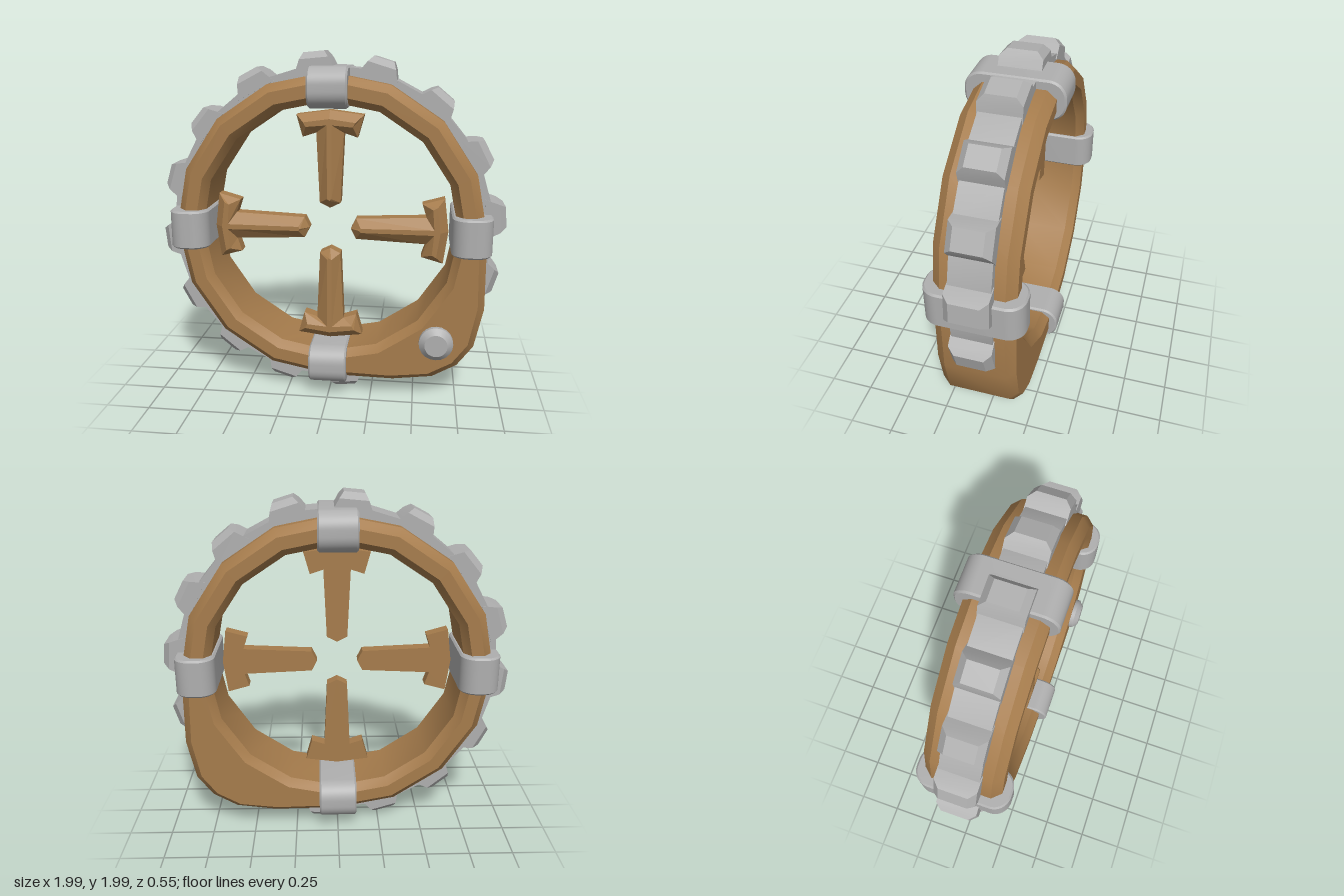
import * as THREE from 'three';
import { toCreasedNormals } from 'three/addons/utils/BufferGeometryUtils.js';

const wood = new THREE.MeshStandardMaterial({ color: 0xa67c4c });
wood.name = 'wood brown';
const steel = new THREE.MeshStandardMaterial({ color: 0xafafaf });
steel.name = 'steel grey';

function part(name, geometry, material, parent) {
  const mesh = new THREE.Mesh(geometry, material);
  mesh.name = name;
  parent.add(mesh);
  return mesh;
}

// Chamfered sixteen-sided hoop whose lower corner on the left swells outwards
function hoopGeometry() {
  const stations = [];
  const inner = (k) => new THREE.Vector2(Math.cos(k * Math.PI / 8), Math.sin(k * Math.PI / 8)).multiplyScalar(0.73);
  for (let k = 0; k <= 12; k++) stations.push([inner(k).multiplyScalar(0.885 / 0.73), inner(k)]);
  const corner = [[0.38, -0.89, 13], [0.61, -0.86, 13.5], [0.75, -0.78, 14], [0.84, -0.66, 14.5], [0.89, -0.43, 15]];
  for (const [x, y, k] of corner) {
    const p = inner(Math.floor(k)).lerp(inner(Math.ceil(k)), 0.5);
    stations.push([new THREE.Vector2(x, y), p]);
  }
  const pos = [], idx = [];
  for (const [o, i] of stations) {
    const o2 = o.clone().setLength(o.length() - 0.045);
    const i2 = i.clone().setLength(i.length() + 0.04);
    const section = [[o, 0.17], [o2, 0.22], [i2, 0.22], [i, 0.17], [i, -0.17], [i2, -0.22], [o2, -0.22], [o, -0.17]];
    for (const [p, z] of section) pos.push(p.x, p.y, z);
  }
  const n = stations.length;
  for (let s = 0; s < n; s++) {
    for (let j = 0; j < 8; j++) {
      const t = (s + 1) % n, q = (j + 1) % 8;
      const a = s * 8 + j, b = s * 8 + q, c = t * 8 + q, d = t * 8 + j;
      idx.push(a, d, c, a, c, b);
    }
  }
  const g = new THREE.BufferGeometry();
  g.setAttribute('position', new THREE.Float32BufferAttribute(pos, 3));
  g.setIndex(idx);
  return toCreasedNormals(g, 0.55);
}

// Tooth: a box tapered in two steps, standing on the tread
function toothGeometry() {
  const g = new THREE.BoxGeometry(2, 2, 2, 1, 2, 1);
  const levels = [[0.88, 0.115, 0.117], [0.96, 0.08, 0.117], [0.995, 0.058, 0.08]];
  const p = g.attributes.position;
  for (let i = 0; i < p.count; i++) {
    const [r, w, d] = levels[Math.round(p.getY(i)) + 1];
    p.setXYZ(i, p.getX(i) * w, r, p.getZ(i) * d);
  }
  return toCreasedNormals(g, 0.3);
}

// Clamp: rounded loop section swept along the rim
function clampGeometry() {
  const x0 = 0.70, x1 = 0.905, h = 0.26, r = 0.085, s = new THREE.Shape();
  s.moveTo(x0 + r, -h);
  s.absarc(x1 - r, -h + r, r, -Math.PI / 2, 0);
  s.absarc(x1 - r, h - r, r, 0, Math.PI / 2);
  s.absarc(x0 + r, h - r, r, Math.PI / 2, Math.PI);
  s.absarc(x0 + r, -h + r, r, Math.PI, Math.PI * 1.5);
  const g = new THREE.ExtrudeGeometry(s, {
    depth: 0.2, bevelEnabled: true, bevelThickness: 0.01, bevelSize: 0.01, bevelSegments: 1, curveSegments: 6,
  });
  g.translate(0, 0, -0.1).rotateX(Math.PI / 2);
  return toCreasedNormals(g, 0.5);
}

// T-shaped spoke: flat back, straight sides, front sloping up to a narrow ridge
function spokeGeometry() {
  const mirrored = (pts) => [...pts, ...pts.slice(1, -1).reverse().map(([x, y]) => [-x, y])];
  const outline = mirrored([[0, 0.12], [0.06, 0.15], [0.078, 0.55], [0.155, 0.525], [0.19, 0.65], [0, 0.675]]);
  const ridge = mirrored([[0, 0.17], [0.012, 0.18], [0.015, 0.595], [0.132, 0.585], [0.145, 0.61], [0, 0.63]]);
  const shape = new THREE.Shape(outline.map(([x, y]) => new THREE.Vector2(x, y)));
  const g = new THREE.ExtrudeGeometry(shape, { depth: 2, steps: 2, bevelEnabled: false });
  const p = g.attributes.position, heights = [0.02, 0.095, 0.14];
  for (let i = 0; i < p.count; i++) {
    const level = Math.round(p.getZ(i));
    p.setZ(i, heights[level]);
    if (level === 2) {
      const k = outline.findIndex(([x, y]) => Math.hypot(x - p.getX(i), y - p.getY(i)) < 1e-4);
      p.setXY(i, ridge[k][0], ridge[k][1]);
    }
  }
  g.computeVertexNormals();
  return g;
}

function lathe(points, segments) {
  const g = new THREE.LatheGeometry(points.map(([x, y]) => new THREE.Vector2(x, y)), segments);
  return toCreasedNormals(g.rotateX(Math.PI / 2), 0.4);
}

export function createModel() {
  const model = new THREE.Group();
  const wheel = new THREE.Group();
  wheel.name = 'wheel';
  wheel.position.y = 1;
  model.add(wheel);

  part('hoop', hoopGeometry(), wood, wheel);

  // Tread band with sixteen teeth; those in the swollen corner are buried
  const band = [[0.85, -0.112], [0.918, -0.112], [0.918, 0.112], [0.85, 0.112]];
  part('treadBand', lathe(band, 32), steel, wheel);
  const tooth = toothGeometry();
  for (let k = 0; k < 16; k++) {
    part('treadTooth', tooth, steel, wheel).rotation.z = THREE.MathUtils.degToRad(5.3 + k * 22.5);
  }

  // Clamps and spokes at the four quarters
  const clamp = clampGeometry(), spoke = spokeGeometry();
  for (let k = 0; k < 4; k++) {
    part('clamp', clamp, steel, wheel).rotation.z = k * Math.PI / 2;
    part('spoke', spoke, wood, wheel).rotation.z = k * Math.PI / 2;
  }

  // Stud on the corner
  const stud = part('stud', lathe([[0.098, 0.2], [0.098, 0.245], [0.065, 0.275], [0, 0.275]], 20), steel, wheel);
  stud.position.set(0.625, -0.625, 0);
  return model;
}
